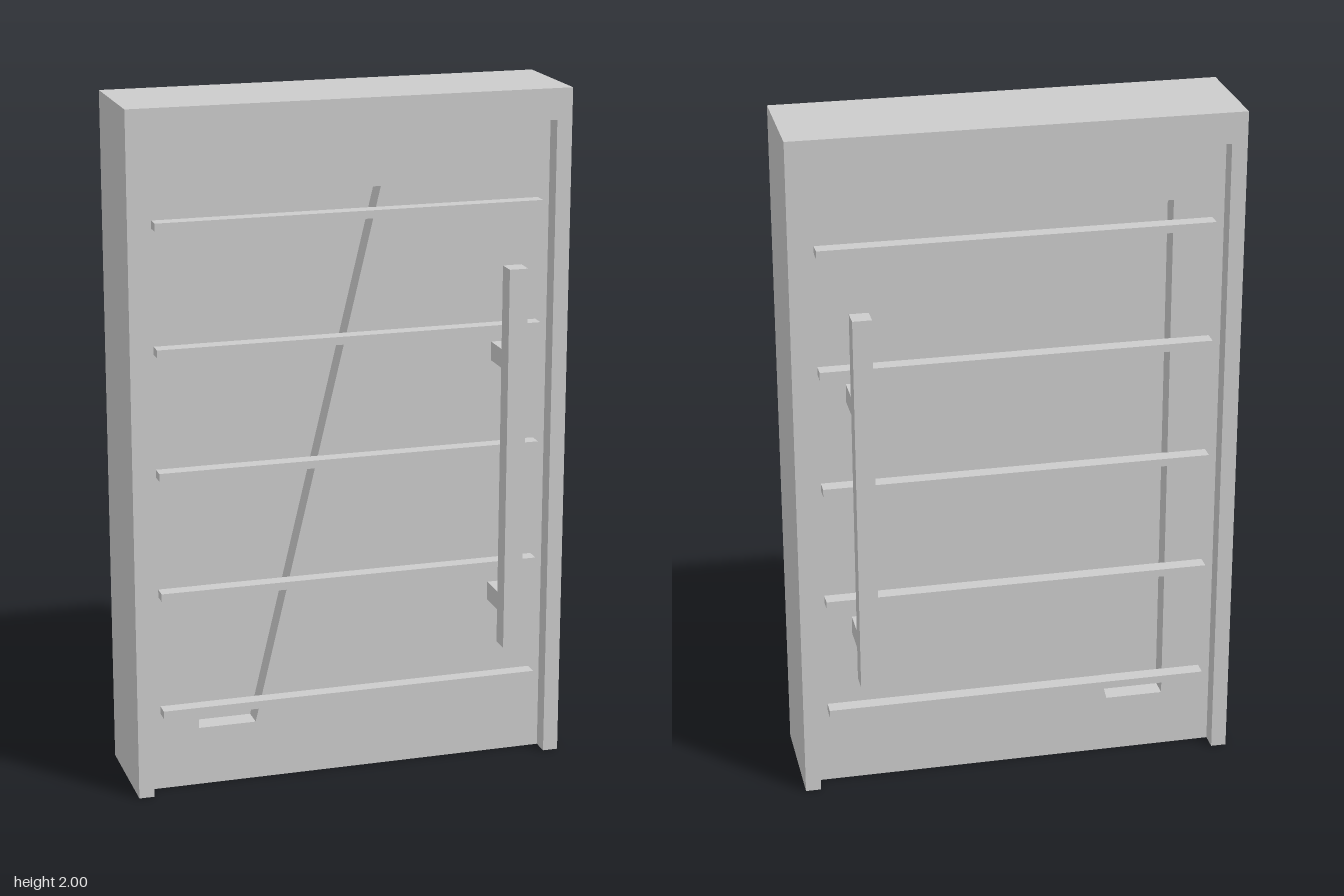
import * as THREE from 'three';

const material = new THREE.MeshStandardMaterial({ color: 0xcccccc, flatShading: true });

function add(parent, name, geometry, x = 0, y = 0, z = 0) {
  const mesh = new THREE.Mesh(geometry, material);
  mesh.name = name;
  mesh.position.set(x, y, z);
  parent.add(mesh);
  return mesh;
}

const polygon = (points) => points.map(([x, y]) => new THREE.Vector2(x, y));

// Extrudes an outline so that it is centred on z = 0
function slab(outline, depth, hole) {
  const shape = new THREE.Shape(polygon(outline));
  if (hole) shape.holes.push(new THREE.Path(polygon(hole)));
  return new THREE.ExtrudeGeometry(shape, { depth, bevelEnabled: false }).translate(0, 0, -depth / 2);
}

export function createModel() {
  const door = new THREE.Group();
  door.name = 'door';

  const W = 0.642, H = 2, frameDepth = 0.332;
  const innerW = 0.597, innerH = 1.91;
  const leafDepth = 0.226, paneDepth = 0.1;

  // Frame: two jambs and a head, open at the floor
  add(door, 'frame', slab([
    [-W, 0], [-innerW, 0], [-innerW, innerH], [innerW, innerH],
    [innerW, 0], [W, 0], [W, H], [-W, H],
  ], frameDepth));

  // Leaf with a slanted window opening
  const opening = [[-0.45, 0.175], [-0.28, 0.175], [0.095, 1.74], [-0.45, 1.74]];
  add(door, 'leaf', slab(
    [[-innerW, 0], [innerW, 0], [innerW, innerH], [-innerW, innerH]], leafDepth, opening));
  add(door, 'windowPane', slab(opening, paneDepth));

  // Fittings repeated on both faces
  for (const side of [1, -1]) {
    const face = new THREE.Group();
    face.name = side > 0 ? 'frontFittings' : 'backFittings';
    door.add(face);

    // Horizontal trim bars
    for (let i = 0; i < 5; i++) {
      add(face, 'trimBar', new THREE.BoxGeometry(1.126, 0.023, 0.044),
        0, 0.244 + i * 0.3565, side * (leafDepth / 2 + 0.021));
    }

    // Long pull handle on two standoffs
    const handle = new THREE.Group();
    handle.name = 'pullHandle';
    handle.position.x = 0.457;
    face.add(handle);
    add(handle, 'handleBar', new THREE.BoxGeometry(0.055, 1.13, 0.057), 0, 0.945, side * 0.2295);
    for (const y of [0.508, 1.239]) {
      add(handle, 'standoff', new THREE.BoxGeometry(0.055, 0.055, 0.092), 0, y, side * 0.156);
    }
  }
  return door;
}
